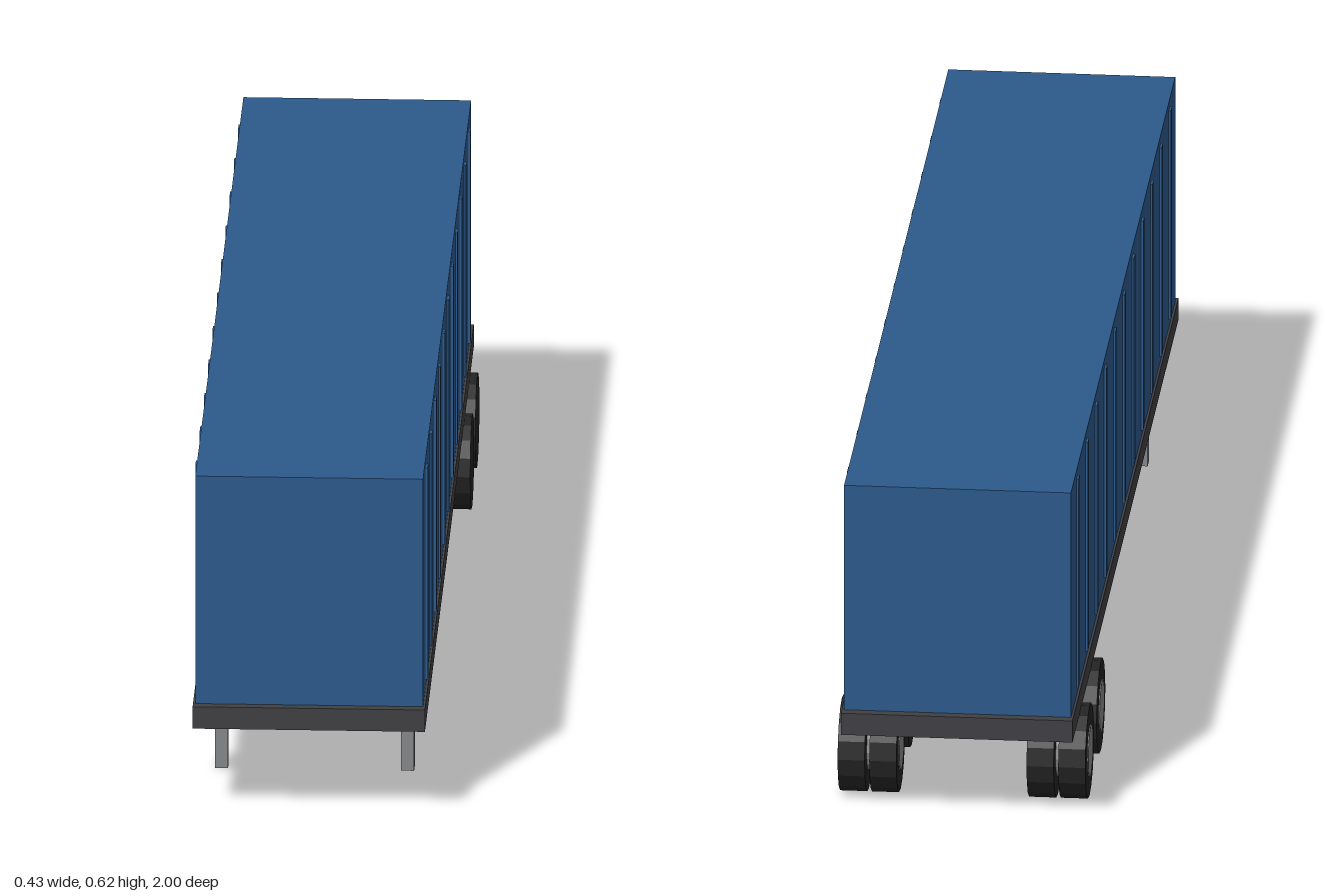
import * as THREE from 'three';

export function createModel() {
  const trailer = new THREE.Group();
  trailer.name = 'boxTrailer';

  const material = (name, color, flatShading = false) => {
    const m = new THREE.MeshStandardMaterial({ color, flatShading });
    m.name = name;
    return m;
  };
  const blue = material('cargoBlue', 0x2c5a8c);
  const frame = material('chassisGrey', 0x404044);
  const rubber = material('tyreBlack', 0x232323, true);
  const steel = material('steelGrey', 0x868789, true);

  const add = (parent, name, geometry, mat, x, y, z) => {
    const mesh = new THREE.Mesh(geometry, mat);
    mesh.name = name;
    mesh.position.set(x, y, z);
    parent.add(mesh);
    return mesh;
  };
  const box = (name, w, h, d, mat, x, y, z) =>
    add(trailer, name, new THREE.BoxGeometry(w, h, d), mat, x, y, z);

  // Body and flat chassis deck
  const cx = 0.001;
  box('cargoBox', 0.394, 0.417, 1.966, blue, cx, 0.4115, 0);
  box('chassis', 0.402, 0.04, 2, frame, cx, 0.183, 0);

  for (const side of [-1, 1]) {
    // Vertical ribs along each wall
    for (let i = 0; i < 11; i++) {
      box('wallRib', 0.008, 0.388, 0.022, blue, cx + side * 0.197, 0.4115, 0.871 - i * 0.1742);
    }

    // Landing legs
    box('landingLeg', 0.023, 0.164, 0.024, steel, side * 0.161, 0.082, 0.73);

    // Tandem dual wheels; every hub faces the same way
    for (const z of [-0.625, -0.838]) {
      const wheel = new THREE.Group();
      wheel.name = 'dualWheel';
      wheel.position.set(side * 0.164, 0.085, z);
      trailer.add(wheel);
      const tyre = new THREE.CylinderGeometry(0.083, 0.083, 0.047, 16).rotateZ(Math.PI / 2);
      const hub = new THREE.CylinderGeometry(0.046, 0.046, 0.1, 12).rotateZ(Math.PI / 2);
      for (const x of [-0.0275, 0.0275]) add(wheel, 'tyre', tyre, rubber, x, 0, 0);
      add(wheel, 'hub', hub, steel, -0.003, 0, 0);
    }
  }
  return trailer;
}
